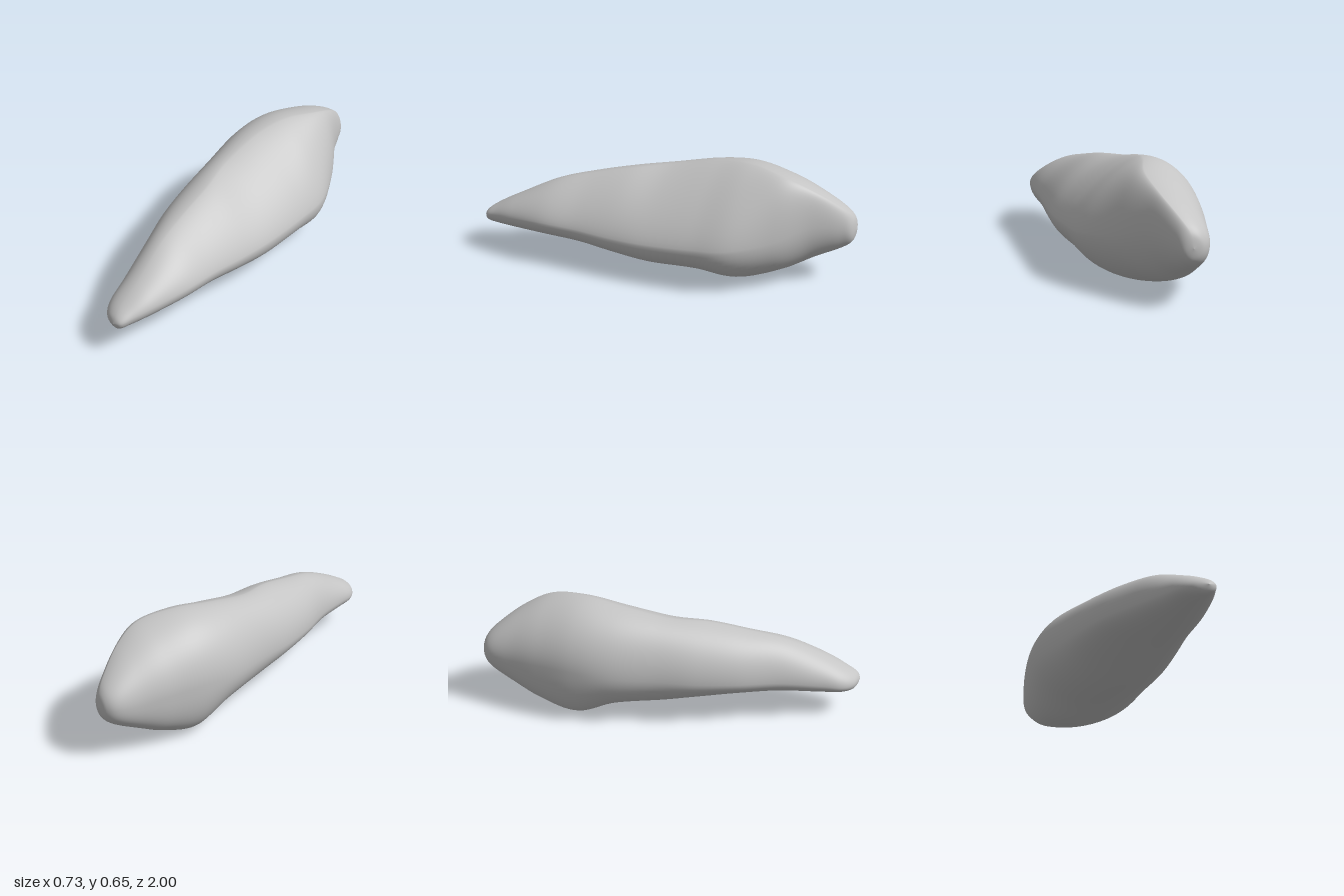
import * as THREE from 'three';

// Cross-sections from back to front: z, then the (x, y) of the
// leftmost, top, rightmost and bottom point of each outline.
const SECTIONS = [
  [-1, -0.21, 0.32, -0.21, 0.32, -0.21, 0.32, -0.21, 0.32],
  [-0.985, -0.265, 0.32, -0.2, 0.39, -0.16, 0.32, -0.21, 0.255],
  [-0.93, -0.306, 0.32, -0.16, 0.455, -0.115, 0.34, -0.21, 0.205],
  [-0.8, -0.33, 0.32, -0.085, 0.552, -0.02, 0.35, -0.2, 0.135],
  [-0.65, -0.352, 0.33, -0.045, 0.62, 0.115, 0.29, -0.17, 0.058],
  [-0.45, -0.366, 0.33, -0.08, 0.646, 0.25, 0.26, -0.15, 0],
  [-0.25, -0.342, 0.31, -0.09, 0.622, 0.295, 0.25, -0.05, 0.05],
  [0, -0.26, 0.29, -0.05, 0.57, 0.325, 0.24, 0.06, 0.065],
  [0.2, -0.2, 0.275, 0.03, 0.54, 0.335, 0.24, 0.13, 0.1],
  [0.4, -0.12, 0.265, 0.085, 0.495, 0.342, 0.25, 0.17, 0.133],
  [0.6, -0.01, 0.25, 0.145, 0.44, 0.36, 0.255, 0.19, 0.143],
  [0.8, 0.08, 0.22, 0.21, 0.342, 0.347, 0.24, 0.2, 0.143],
  [0.92, 0.13, 0.2, 0.235, 0.275, 0.324, 0.22, 0.22, 0.146],
  [0.98, 0.19, 0.195, 0.26, 0.233, 0.305, 0.205, 0.25, 0.16],
  [1, 0.265, 0.2, 0.265, 0.2, 0.265, 0.2, 0.265, 0.2],
];

const RINGS = 112;
const SIDES = 64;

// Smoothly blended section at t (0 = back, 1 = front)
function sectionAt(t) {
  const last = SECTIONS.length - 1;
  const s = t * last;
  const i = Math.min(Math.floor(s), last - 1);
  const f = s - i;
  const key = (k) => SECTIONS[Math.max(0, Math.min(last, k))];
  return SECTIONS[0].map((_, c) => {
    const [p0, p1, p2, p3] = [-1, 0, 1, 2].map((d) => key(i + d)[c]);
    const m1 = (p2 - p0) / 2;
    const m2 = (p3 - p1) / 2;
    const d = p2 - p1;
    return p1 + f * (m1 + f * (3 * d - 2 * m1 - m2 + f * (m1 + m2 - 2 * d)));
  });
}

// Roundness of a quarter curve: 1 is elliptic, above is flatter, below fuller
function quarterPower(right, upper, z) {
  if (right && upper) return 1 + 0.42 * Math.exp(-((z / 0.75) ** 4));
  if (!right && !upper) return 1 - 0.24 * Math.exp(-(((z + 0.65) / 0.28) ** 2));
  return 1;
}

// Outline point: four quarter curves joining the extreme points
function outlinePoint(section, angle) {
  const [z, xl, yl, xt, yt, xr, yr, xb, yb] = section;
  const c = Math.cos(angle);
  const s = Math.sin(angle);
  const [sx, sy] = c >= 0 ? [xr, yr] : [xl, yl];
  const [vx, vy] = s >= 0 ? [xt, yt] : [xb, yb];
  const power = quarterPower(c >= 0, s >= 0, z);
  const u = Math.abs(c) ** power;
  const v = Math.abs(s) ** power;
  return [vx + (sx - vx) * u, sy + (vy - sy) * v, z];
}

function createBodyGeometry() {
  const positions = [];
  const indices = [];
  for (let i = 0; i <= RINGS; i++) {
    const section = sectionAt(i / RINGS);
    for (let j = 0; j < SIDES; j++) {
      positions.push(...outlinePoint(section, (j / SIDES) * Math.PI * 2));
    }
  }
  for (let i = 0; i < RINGS; i++) {
    for (let j = 0; j < SIDES; j++) {
      const k = (j + 1) % SIDES;
      const a = i * SIDES + j;
      const b = i * SIDES + k;
      const c = a + SIDES;
      const d = b + SIDES;
      if (i > 0) indices.push(a, b, c);
      if (i < RINGS - 1) indices.push(b, d, c);
    }
  }
  // Both ends shrink to a point: close the back one with its own fan
  for (let j = 0; j < SIDES; j++) {
    indices.push(j, SIDES + ((j + 1) % SIDES), SIDES + j);
  }
  const geometry = new THREE.BufferGeometry();
  geometry.setAttribute('position', new THREE.Float32BufferAttribute(positions, 3));
  geometry.setIndex(indices.slice(0, -SIDES * 3));
  geometry.computeVertexNormals();
  return geometry;
}

export function createModel() {
  const model = new THREE.Group();
  model.name = 'taperedStone';

  const stoneGrey = new THREE.MeshStandardMaterial({ color: 0xc4c4c4 });
  stoneGrey.name = 'stoneGrey';

  // One lofted body, broad at the back and narrowing to the front tip
  const body = new THREE.Mesh(createBodyGeometry(), stoneGrey);
  body.name = 'body';
  model.add(body);
  return model;
}
